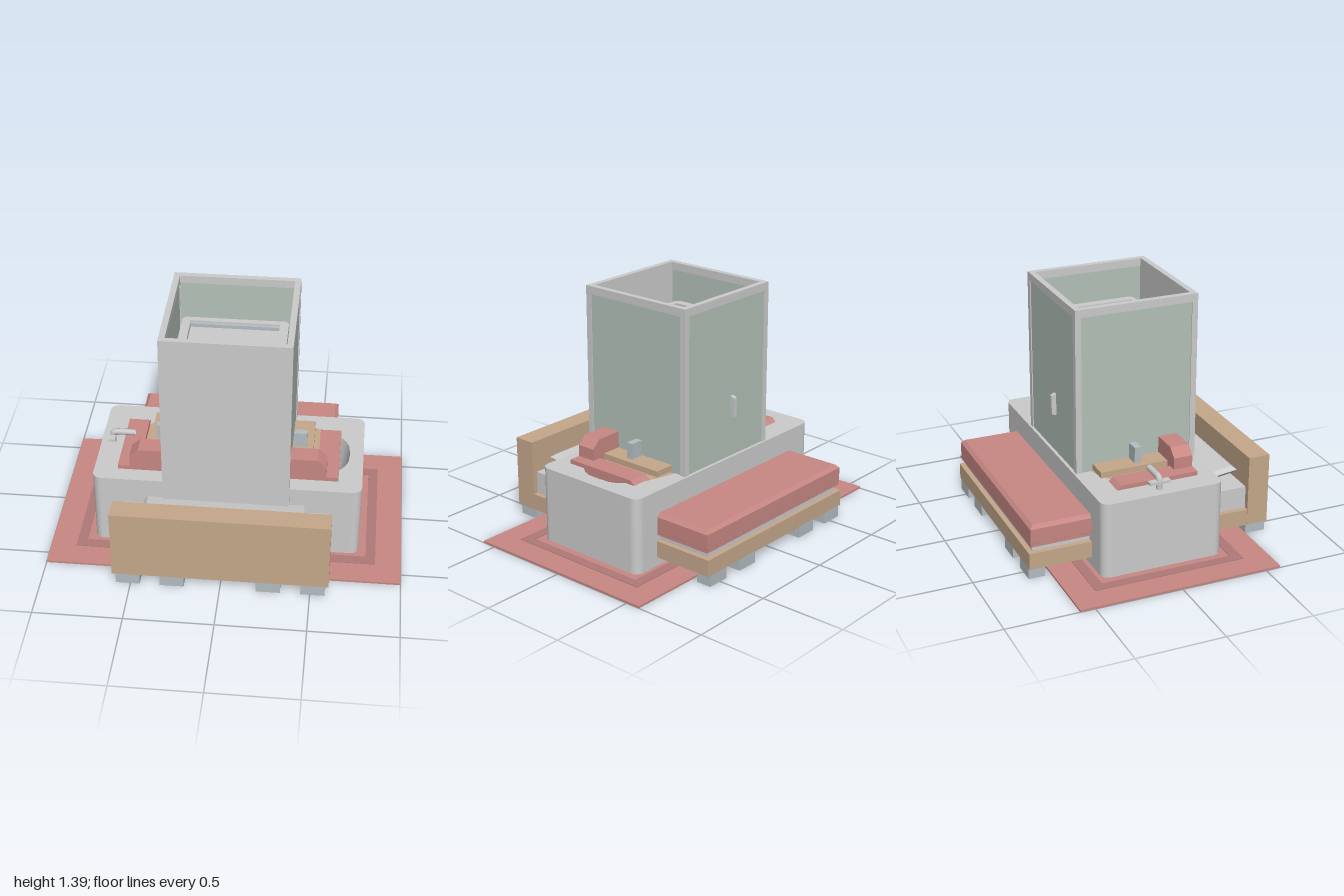
import * as THREE from 'three';

const mat = (color, side = THREE.FrontSide) => new THREE.MeshStandardMaterial({ color, side, roughness: 0.9 });
const GREY = mat(0xcccccc), WOOD = mat(0xc5a88b), RED = mat(0xc88884), DARK_RED = mat(0xae7978);
const STEEL = mat(0xb4bdc0), GLASS = mat(0xb3c1b8, THREE.DoubleSide), BASIN = mat(0xcccccc, THREE.DoubleSide);

function add(parent, name, geometry, material) {
  const mesh = new THREE.Mesh(geometry, material);
  mesh.name = name;
  parent.add(mesh);
  return mesh;
}

// Box given by its min and max on each axis
function box(parent, name, material, x0, x1, y0, y1, z0, z1) {
  const mesh = add(parent, name, new THREE.BoxGeometry(x1 - x0, y1 - y0, z1 - z0), material);
  mesh.position.set((x0 + x1) / 2, (y0 + y1) / 2, (z0 + z1) / 2);
  return mesh;
}

function group(parent, name) {
  const g = new THREE.Group();
  g.name = name;
  parent.add(g);
  return g;
}

function roundedRect(w, d, r) {
  const s = new THREE.Shape();
  s.absarc(w - r, d - r, r, 0, Math.PI / 2);
  s.absarc(-w + r, d - r, r, Math.PI / 2, Math.PI);
  s.absarc(-w + r, -d + r, r, Math.PI, Math.PI * 1.5);
  s.absarc(w - r, -d + r, r, Math.PI * 1.5, Math.PI * 2);
  s.closePath();
  return s;
}

// Extrude a plan outline upwards from y0 to y1
function extrudeUp(shape, y0, y1, bevel = 0) {
  const g = new THREE.ExtrudeGeometry(shape, {
    depth: y1 - y0 - 2 * bevel, bevelEnabled: bevel > 0, bevelSize: bevel, bevelThickness: bevel,
    bevelOffset: -bevel, bevelSegments: 1, curveSegments: 8,
  });
  return g.rotateX(-Math.PI / 2).translate(0, y0 + bevel, 0);
}

function slab(w, d) {
  return new THREE.Shape([[-w, -d], [w, -d], [w, d], [-w, d]].map(p => new THREE.Vector2(...p)));
}

function buildRug(parent) {
  const g = group(parent, 'rug');
  box(g, 'rugBase', RED, -1, 1, 0, 0.012, -0.585, 0.585);
  const band = slab(0.855, 0.44);
  band.holes.push(slab(0.8, 0.38));
  add(g, 'rugBorder', extrudeUp(band, 0.011, 0.015), DARK_RED);
}

function buildTub(parent) {
  const g = group(parent, 'bathtub');
  // Basin outline, narrowing towards the floor
  const N = 40;
  const outline = k => Array.from({ length: N }, (_, i) => {
    const a = i / N * Math.PI * 2, c = Math.cos(a), s = Math.sin(a);
    const x = Math.sign(c) * Math.abs(c) ** 0.75 * (c > 0 ? 0.68 : 0.58);
    return new THREE.Vector2(x * k, Math.sign(s) * Math.abs(s) ** 0.75 * 0.285 * k);
  });
  const shell = roundedRect(0.757, 0.355, 0.05);
  shell.holes.push(new THREE.Path(outline(1)));
  add(g, 'tubShell', extrudeUp(shell, 0.012, 0.45), GREY);
  const rings = [[1, 0.45], [0.96, 0.3], [0.88, 0.14], [0.78, 0.09], [0, 0.09]];
  const pos = [], idx = [];
  rings.forEach(([k, y]) => outline(k).forEach(p => pos.push(p.x, y, p.y)));
  for (let r = 0; r < rings.length - 1; r++) {
    for (let i = 0; i < N; i++) {
      const a = r * N + i, b = r * N + (i + 1) % N;
      idx.push(a, b, a + N, b, b + N, a + N);
    }
  }
  const basin = new THREE.BufferGeometry();
  basin.setAttribute('position', new THREE.Float32BufferAttribute(pos, 3));
  basin.setIndex(idx);
  basin.computeVertexNormals();
  add(g, 'tubBasin', basin, BASIN);

  // Tap: post, bent spout and cross handle
  const path = new THREE.CurvePath();
  const v = (x, y) => new THREE.Vector3(x, y, 0);
  path.add(new THREE.LineCurve3(v(-0.69, 0.45), v(-0.69, 0.5)));
  path.add(new THREE.QuadraticBezierCurve3(v(-0.69, 0.5), v(-0.69, 0.518), v(-0.66, 0.518)));
  path.add(new THREE.LineCurve3(v(-0.66, 0.518), v(-0.56, 0.518)));
  add(g, 'tapSpout', new THREE.TubeGeometry(path, 24, 0.018, 8), BASIN);
  box(g, 'tapHandle', GREY, -0.708, -0.672, 0.485, 0.5, -0.06, 0.06);
}

function buildBed(parent) {
  const g = group(parent, 'bed');
  box(g, 'headboard', WOOD, -0.602, 0.602, 0.065, 0.48, 0.59, 0.715);
  box(g, 'bedFrame', WOOD, -0.6, 0.6, 0.065, 0.16, -0.713, 0.59);
  box(g, 'mattress', GREY, -0.57, 0.57, 0.16, 0.29, -0.3, 0.59);
  box(g, 'mattressFoot', GREY, -0.57, 0.57, 0.16, 0.2, -0.685, -0.3);
  const blanket = add(g, 'blanket', extrudeUp(slab(0.595, 0.2), 0.195, 0.32, 0.02), RED);
  blanket.position.z = -0.502;
  // Full height below the top bevel
  box(g, 'blanketSkirt', RED, -0.594, 0.594, 0.195, 0.3, -0.701, -0.3);
  const pillow = add(g, 'pillow', extrudeUp(slab(0.462, 0.135), -0.022, 0.022, 0.0215), GREY);
  pillow.position.set(0, 0.33, 0.455);
  pillow.rotation.x = -0.13;
  for (const x of [-0.515, -0.268, 0.268, 0.515]) {
    box(g, 'bedLeg', STEEL, x - 0.067, x + 0.067, 0, 0.07, 0.592, 0.713);
    box(g, 'bedLeg', STEEL, x - 0.067, x + 0.067, 0, 0.07, -0.713, -0.62);
  }
}

function buildSofa(parent) {
  const g = group(parent, 'sofa');
  // Backrest with chamfered upper corners
  const back = new THREE.Shape([[-0.555, 0.45], [0.555, 0.45], [0.555, 0.54], [0.505, 0.587], [-0.505, 0.587], [-0.555, 0.54]]
    .map(p => new THREE.Vector2(...p)));
  const backrest = add(g, 'backrest', new THREE.ExtrudeGeometry(back, { depth: 0.11, bevelEnabled: false }), RED);
  backrest.position.z = 0.15;
  // Low arms, cut down at their far ends
  const arm = new THREE.Shape([[0.26, 0.42], [0.26, 0.474], [-0.19, 0.474], [-0.215, 0.45], [-0.215, 0.42]]
    .map(p => new THREE.Vector2(-p[0], p[1])));
  const armGeo = new THREE.ExtrudeGeometry(arm, { depth: 0.12, bevelEnabled: false }).rotateY(Math.PI / 2);
  for (const x of [-0.623, 0.503]) add(g, 'arm', armGeo, RED).position.x = x;
}

function buildTable(parent) {
  const g = group(parent, 'table');
  box(g, 'tableTop', WOOD, -0.47, 0.47, 0.458, 0.492, -0.245, 0.15);
  box(g, 'tableShelf', WOOD, -0.51, 0.51, 0.4, 0.445, -0.27, 0.27);
  for (const s of [-1, 1]) {
    box(g, 'tablePost', STEEL, s * 0.395 - 0.038, s * 0.395 + 0.038, 0.49, 0.583, -0.03, 0.01);
  }
}

function buildShower(parent) {
  const g = group(parent, 'shower');
  const W = 0.356, z0 = -0.343, z1 = 0.372, top = 1.395, t = 0.034;
  box(g, 'frontWall', GREY, -W, W, 0.02, top, z1 - t, z1);
  box(g, 'showerTray', GREY, -W + 0.01, W - 0.01, 0.02, 0.1, z0 + 0.01, z1 - t);
  for (const s of [-1, 1]) {
    const a = Math.min(s * W, s * (W - t)), b = a + t;
    box(g, 'cornerPost', GREY, a, b, 0.02, top, z0, z0 + t);
    box(g, 'sideRail', GREY, a, b, top - 0.045, top, z0 + t, z1 - t);
    box(g, 'sideGlass', GLASS, a + 0.006, b - 0.006, 0.1, top - 0.045, z0 + t, z1 - t);
  }
  box(g, 'backRail', GREY, -W + t, W - t, top - 0.045, top, z0, z0 + t);
  box(g, 'backGlass', GLASS, -W + t, W - t, 0.1, top - 0.045, z0 + 0.006, z0 + t - 0.006);
  // Door handle
  const h = new THREE.Shape([[0, 0.68], [0, 0.81], [0.027, 0.8], [0.027, 0.69]].map(p => new THREE.Vector2(...p)));
  const handle = add(g, 'doorHandle', new THREE.ExtrudeGeometry(h, { depth: 0.022, bevelEnabled: false }).rotateY(Math.PI / 2), GREY);
  handle.position.set(-0.057, 0, z0 + 0.003);
  // Mixer on the inside of the front wall
  box(g, 'mixerBody', GREY, -0.06, 0.06, 0.98, 1.02, 0.29, 0.32);
  for (const x of [-0.08, 0.08]) {
    const knob = add(g, 'mixerKnob', new THREE.CylinderGeometry(0.025, 0.025, 0.04, 12).rotateZ(Math.PI / 2), GREY);
    knob.position.set(x, 1, 0.305);
  }
}

function buildCabinet(parent) {
  const g = group(parent, 'cabinet');
  // Tall body with a recessed top panel
  const rim = roundedRect(0.3, 0.25, 0.03);
  rim.holes.push(slab(0.25, 0.215));
  add(g, 'cabinetRim', extrudeUp(rim, 1.1, 1.18), GREY).position.z = 0.025;
  add(g, 'cabinetBody', extrudeUp(roundedRect(0.3, 0.25, 0.03), 0.1, 1.15), GREY).position.z = 0.025;
  box(g, 'cabinetSlot', STEEL, -0.25, 0.25, 1.15, 1.17, -0.19, -0.17);
  box(g, 'rearPanel', STEEL, -0.27, 0.27, 0.5, 0.6, -0.29, -0.225);
  for (const x of [0.02, 0.08]) box(g, 'rearKnob', STEEL, x - 0.01, x + 0.01, 0.6, 0.63, -0.26, -0.235);
}

export function createModel() {
  const model = new THREE.Group();
  model.name = 'furnitureSet';
  for (const build of [buildRug, buildTub, buildBed, buildSofa, buildTable, buildShower, buildCabinet]) build(model);
  return model;
}
